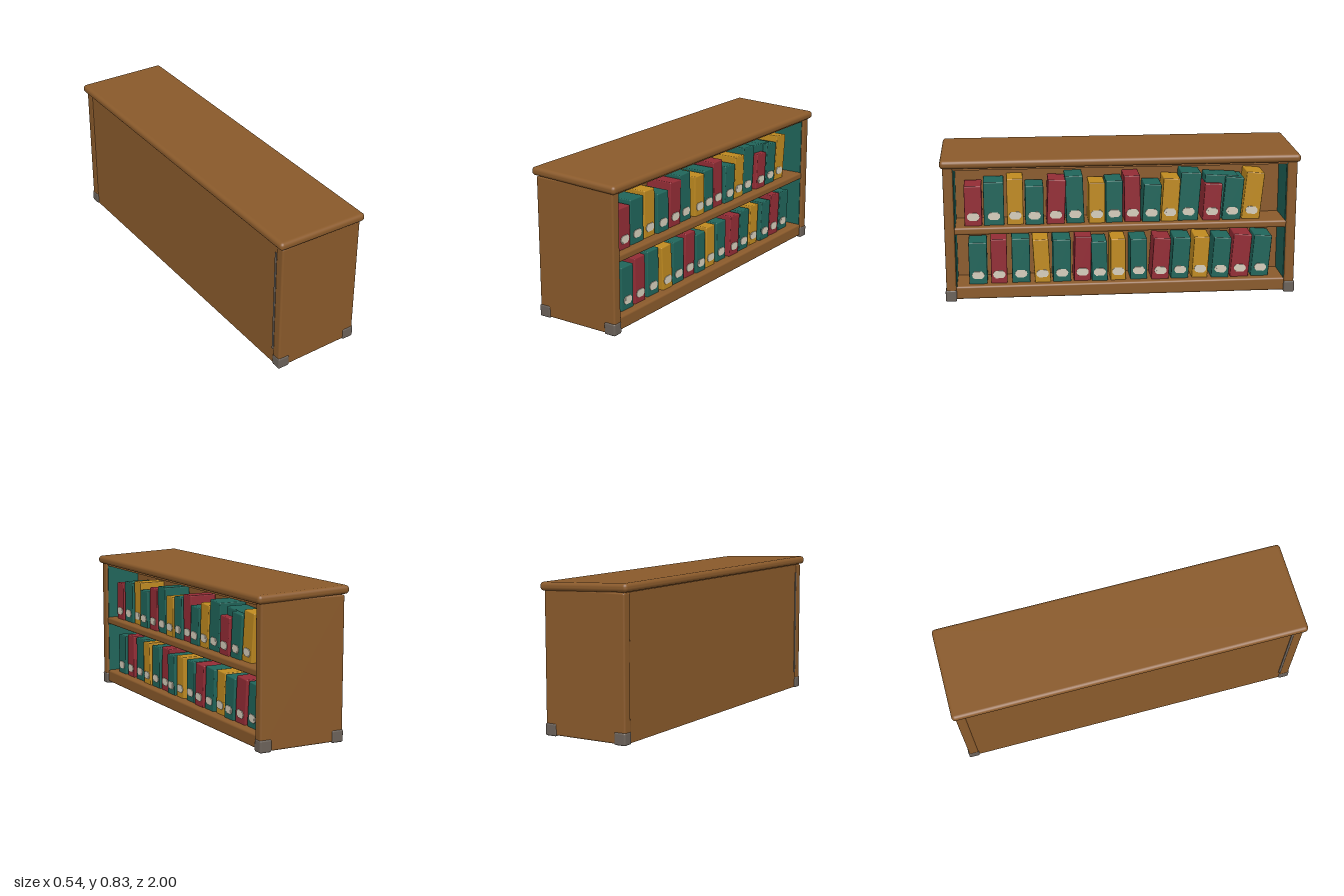
import * as THREE from 'three';
import { RoundedBoxGeometry } from 'three/addons/geometries/RoundedBoxGeometry.js';

const mat = (name, color) => {
  const m = new THREE.MeshStandardMaterial({ color });
  m.name = name;
  return m;
};

export function createModel() {
  const wood = mat('wood brown', 0x8a5a2b);
  const grey = mat('foot grey', 0x6b625a);
  const cream = mat('label cream', 0xd6cebc);
  const bookMats = {
    t: mat('book teal', 0x20655a),
    r: mat('book red', 0x932c35),
    y: mat('book yellow', 0xbf8a20),
  };
  const model = new THREE.Group();
  model.name = 'bookcase';

  // Box given by its minimum and maximum corners, optionally rounded
  const box = (name, material, [x0, y0, z0], [x1, y1, z1], r = 0, parent = model) => {
    const s = [x1 - x0, y1 - y0, z1 - z0];
    const geo = r ? new RoundedBoxGeometry(...s, 3, r) : new THREE.BoxGeometry(...s);
    const mesh = new THREE.Mesh(geo, material);
    mesh.position.set((x0 + x1) / 2, (y0 + y1) / 2, (z0 + z1) / 2);
    mesh.name = name;
    parent.add(mesh);
    return mesh;
  };

  // Top slab, sloping slightly towards the open side
  const top = box('topSlab', wood, [-0.272, 0.774, -1], [0.272, 0.82, 1], 0.02);
  top.rotation.z = -0.037;

  // Carcass: back, floor, ceiling and middle shelf
  box('backPanel', wood, [-0.245, 0.005, -0.96], [0.03, 0.78, 0.96]);
  box('floorBoard', wood, [0, 0.01, -0.95], [0.24, 0.085, 0.95], 0.012);
  box('middleShelf', wood, [0, 0.383, -0.95], [0.24, 0.425, 0.95], 0.012);
  box('topRail', wood, [0, 0.75, -0.95], [0.235, 0.778, 0.95]);

  // End panels with coloured linings and corner feet
  for (const s of [1, -1]) {
    const span = (a, b) => [Math.min(a * s, b * s), Math.max(a * s, b * s)];
    const [e0, e1] = span(0.93, 0.985);
    box('endPanel', wood, [-0.25, 0.005, e0], [0.25, 0.78, e1], 0.01);
    const [l0, l1] = span(0.925, 0.931);
    box('endLining', bookMats.t, [0.02, 0.08, l0], [0.236, 0.755, l1]);
    const [f0, f1] = span(0.928, 0.99);
    for (const x of [-0.253, 0.183])
      box('cornerFoot', grey, [x, 0, f0], [x + 0.07, 0.068, f1], 0.01);
  }
  box('backTrim', grey, [-0.249, 0.1, 0.918], [-0.244, 0.73, 0.932]);

  // Books: colour, z of the left edge, width, height and lean of each
  const upper = [
    ['t', 0.767, 0.113, 0.245, 0], ['y', 0.638, 0.091, 0.26, 0], ['t', 0.536, 0.102, 0.22, 0],
    ['r', 0.418, 0.1, 0.25, 0.04], ['t', 0.306, 0.1, 0.27, -0.03], ['y', 0.182, 0.091, 0.23, 0],
    ['t', 0.086, 0.095, 0.24, 0], ['r', -0.021, 0.091, 0.265, -0.02], ['t', -0.118, 0.1, 0.215, 0.05],
    ['y', -0.225, 0.095, 0.245, 0.06], ['t', -0.32, 0.115, 0.275, 0.07], ['r', -0.46, 0.1, 0.21, 0.06],
    ['t', -0.572, 0.105, 0.245, 0.08], ['y', -0.685, 0.102, 0.27, 0.1],
  ];
  upper.unshift(['r', 0.874, 0.097, 0.226, 0]);
  const lower = [
    ['t', 0.858, 0.102, 0.24, 0], ['r', 0.735, 0.091, 0.256, 0], ['t', 0.617, 0.102, 0.256, 0],
    ['y', 0.488, 0.09, 0.25, -0.05], ['t', 0.386, 0.102, 0.245, 0], ['r', 0.268, 0.095, 0.256, 0.03],
    ['t', 0.166, 0.09, 0.23, -0.02], ['y', 0.059, 0.086, 0.24, 0], ['t', -0.054, 0.095, 0.235, 0],
    ['r', -0.172, 0.098, 0.24, 0.06], ['t', -0.284, 0.1, 0.24, 0.06], ['y', -0.405, 0.09, 0.24, 0.06],
    ['t', -0.515, 0.1, 0.235, 0.07], ['r', -0.625, 0.105, 0.25, 0.08], ['t', -0.745, 0.102, 0.24, 0.08],
  ];
  const label = new THREE.CylinderGeometry(0.03, 0.03, 0.006, 16).rotateZ(Math.PI / 2);
  label.scale(1, 0.78, 1);

  [[upper, 0.42], [lower, 0.08]].forEach(([row, base]) => {
    row.forEach(([c, z, w, h, lean], i) => {
      const book = new THREE.Group();
      book.name = 'book';
      book.position.set(0.2 - (i % 3) * 0.005, base, z - w / 2);
      book.rotation.x = -lean;
      box('bookCover', bookMats[c], [-0.16, 0, -w / 2], [0, h + 0.005, w / 2], 0.006, book);
      // Label plate: a pair of round ends joined by a strip
      box('labelStrip', cream, [-0.003, 0.035, -0.022], [0.004, 0.078, 0.022], 0, book);
      for (const s of [-1, 1]) {
        const end = new THREE.Mesh(label, cream);
        end.name = 'labelEnd';
        end.position.set(0.0005, 0.0565, s * 0.012);
        end.scale.set(1, 0.9, 0.75);
        book.add(end);
      }
      model.add(book);
    });
  });

  // Tall books tucked in behind the upper row
  for (const [z, h] of [[-0.33, 0.265], [-0.47, 0.26], [-0.56, 0.255]]) {
    const spare = box('rearBook', bookMats.t, [0.04, 0.42, z - 0.1], [0.165, 0.42 + h, z], 0.006);
    spare.rotation.x = -0.07;
  }
  return model;
}
